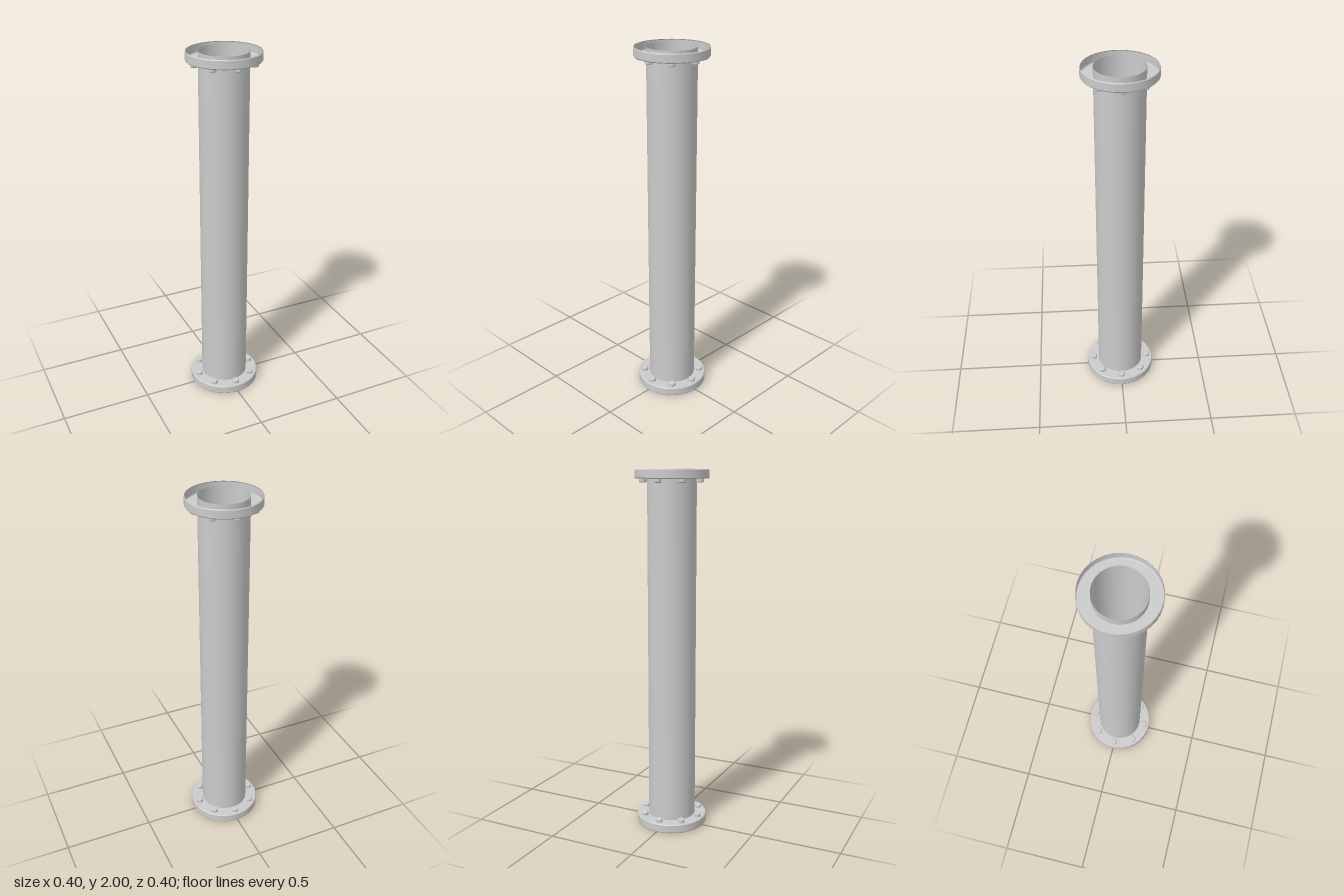
import * as THREE from 'three';
import { toCreasedNormals } from 'three/addons/utils/BufferGeometryUtils.js';

const SIDES = 32, PIPE_R = 0.133, FLANGE_R = 0.199, FLANGE_H = 0.05;
const BOLTS = 8, BOLT_CIRCLE = 0.164;

export function createModel() {
  const model = new THREE.Group();
  model.name = 'flangedPipe';
  const material = new THREE.MeshStandardMaterial({ color: 0xcccccc, side: THREE.DoubleSide });

  const lathe = (points, sides) => toCreasedNormals(
    new THREE.LatheGeometry(points.map(([r, y]) => new THREE.Vector2(r, y)), sides), 0.5);
  const add = (parent, geometry, name) => {
    const mesh = new THREE.Mesh(geometry, material);
    mesh.name = name;
    parent.add(mesh);
    return mesh;
  };

  // Thin open tube running the whole length
  add(model, lathe([[PIPE_R, 0], [PIPE_R, 2]], SIDES), 'pipe');

  // Hollow flange shell, open toward the pipe end, with small bevels
  const flangeGeometry = lathe([
    [FLANGE_R - 0.003, 0], [FLANGE_R, 0.005], [FLANGE_R, FLANGE_H - 0.005],
    [FLANGE_R - 0.004, FLANGE_H], [PIPE_R, FLANGE_H],
  ], SIDES);

  // Low bolt head with a chamfered top
  const boltGeometry = lathe([[0.02, 0], [0.02, 0.016], [0.016, 0.02], [0, 0.02]], 8);

  // One flange with its ring of bolts at each end, the top one turned over
  for (const top of [false, true]) {
    const end = new THREE.Group();
    end.name = top ? 'topFlange' : 'bottomFlange';
    add(end, flangeGeometry, 'flangeShell');
    for (let i = 0; i < BOLTS; i++) {
      const a = (i / BOLTS) * Math.PI * 2;
      const bolt = add(end, boltGeometry, 'bolt');
      bolt.position.set(Math.sin(a) * BOLT_CIRCLE, FLANGE_H, Math.cos(a) * BOLT_CIRCLE);
      bolt.rotation.y = a;
    }
    if (top) {
      end.position.y = 2;
      end.rotation.x = Math.PI;
    }
    model.add(end);
  }
  return model;
}
